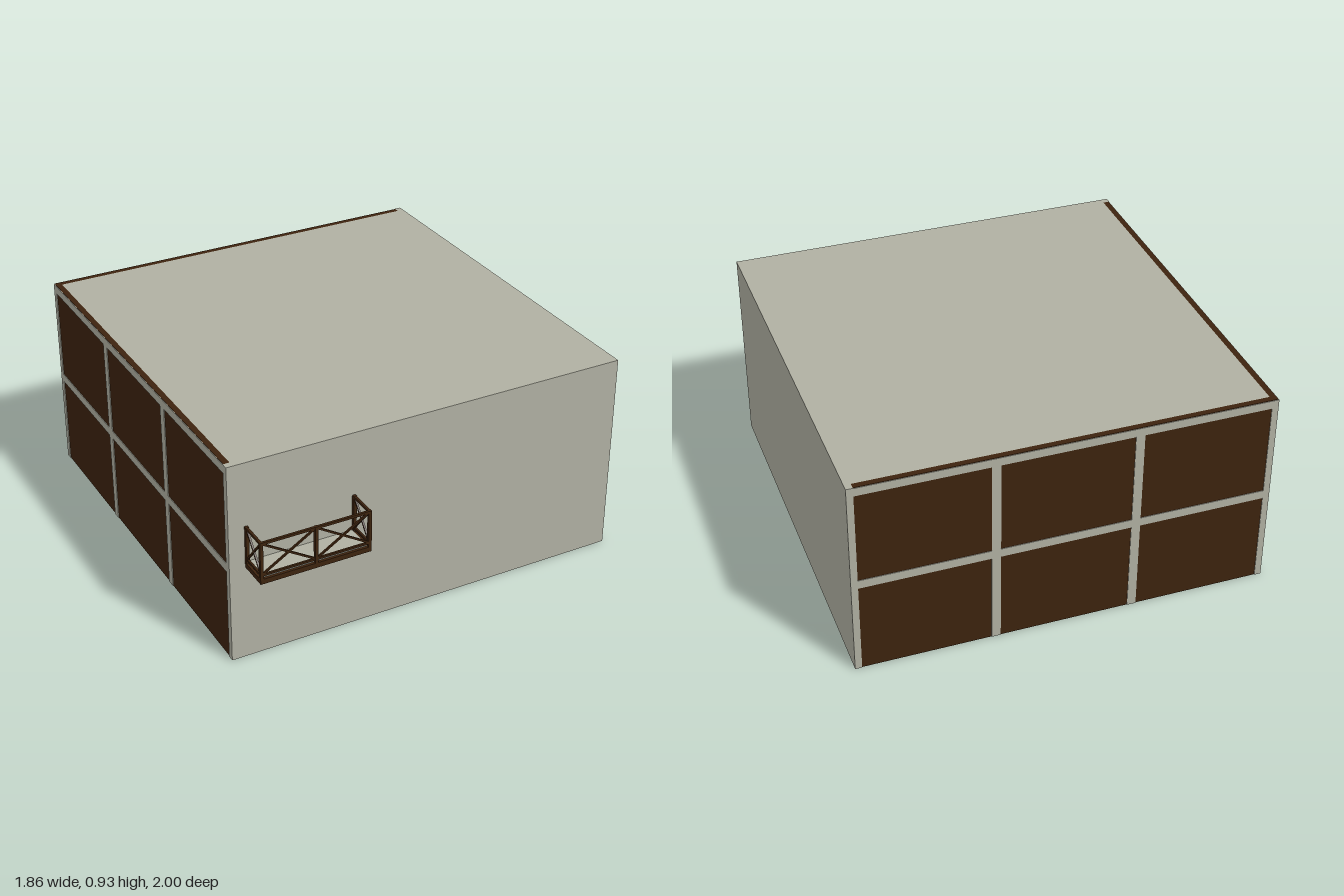
import * as THREE from 'three';

export function createModel() {
  const model = new THREE.Group();
  const plaster = new THREE.MeshStandardMaterial({ color: 0xb0b0a2 });
  plaster.name = 'greyPlaster';
  const wood = new THREE.MeshStandardMaterial({ color: 0x3d230e });
  wood.name = 'darkWood';

  // Box given by its lower and upper corners
  function box(parent, name, mat, a, b) {
    const mesh = new THREE.Mesh(new THREE.BoxGeometry(b[0] - a[0], b[1] - a[1], b[2] - a[2]), mat);
    mesh.position.set((a[0] + b[0]) / 2, (a[1] + b[1]) / 2, (a[2] + b[2]) / 2);
    mesh.name = name;
    parent.add(mesh);
    return mesh;
  }

  // Square bar between two points
  function bar(parent, name, p, q, t) {
    const a = new THREE.Vector3(...p), b = new THREE.Vector3(...q);
    const mesh = new THREE.Mesh(new THREE.BoxGeometry(t, t, a.distanceTo(b)), wood);
    mesh.position.copy(a).add(b).multiplyScalar(0.5);
    mesh.lookAt(b);
    mesh.name = name;
    parent.add(mesh);
  }

  const X = 0.93, H = 0.93, B = -1, F = 0.86, T = 0.03, P = 0.003;

  // Hollow shell, open underneath
  const shell = new THREE.Group();
  shell.name = 'shell';
  model.add(shell);
  box(shell, 'frontWall', plaster, [-X, 0, F - T], [X, H, F]);
  box(shell, 'sideWall', plaster, [X - T, 0, B], [X, H, F - T]);
  box(shell, 'roof', plaster, [-X + T, H - T, B + T], [X - T, H, F - T]);
  box(shell, 'backPanelWall', wood, [-X + P, 0, B + P], [X - T, H, B + T]);
  box(shell, 'sidePanelWall', wood, [-X + P, 0, B + T], [-X + T, H, F - T]);

  // Thin grey timber grids on the two panelled walls
  const grid = new THREE.Group();
  grid.name = 'wallGrid';
  model.add(grid);
  const rows = [[0.425, 0.465], [0.89, H - 0.002]];
  for (const [lo, hi] of rows) {
    box(grid, 'backRail', plaster, [-X, lo, B], [X - T, hi, B + P]);
    box(grid, 'sideRail', plaster, [-X, lo, B + P], [-X + P, hi, F - T]);
  }
  for (const x of [-0.31, 0.31]) {
    box(grid, 'backPost', plaster, [x - 0.02, 0, B], [x + 0.02, 0.89, B + P]);
  }
  for (const z of [-0.38, 0.24]) {
    box(grid, 'sidePost', plaster, [-X, 0, z - 0.02], [-X + P, 0.89, z + 0.02]);
  }
  box(grid, 'backCornerPost', plaster, [-X, 0, B], [-X + T, 0.89, B + P]);
  box(grid, 'sideCornerPost', plaster, [-X, 0, B + P], [-X + P, 0.89, B + T]);

  // Balcony
  const balcony = new THREE.Group();
  balcony.name = 'balcony';
  model.add(balcony);
  const x0 = -0.852, x1 = -0.363, xm = (x0 + x1) / 2, zf = 0.993, zb = 0.867;
  const low = 0.482, top = 0.631;
  box(balcony, 'balconySlab', wood, [-0.859, 0.442, F], [-0.356, 0.465, 1]);
  box(balcony, 'balconyFloor', plaster, [-0.846, 0.465, F], [-0.369, 0.468, 0.987]);

  for (const [x, z] of [[x0, zf], [xm, zf], [x1, zf], [x0, zb], [x1, zb]]) {
    const r = 0.007;
    box(balcony, 'balconyPost', wood, [x - r, 0.465, z - r], [x + r, 0.637, z + r]);
  }

  // Railing bays: top rail, bottom rail and crossed braces
  const bays = [[x0, zf, xm, zf], [xm, zf, x1, zf], [x0, zb, x0, zf], [x1, zb, x1, zf]];
  for (const [ax, az, bx, bz] of bays) {
    bar(balcony, 'topRail', [ax, top, az], [bx, top, bz], 0.011);
    bar(balcony, 'bottomRail', [ax, low, az], [bx, low, bz], 0.009);
    bar(balcony, 'brace', [ax, low, az], [bx, top, bz], 0.008);
    bar(balcony, 'brace', [ax, top, az], [bx, low, bz], 0.008);
  }
  return model;
}
